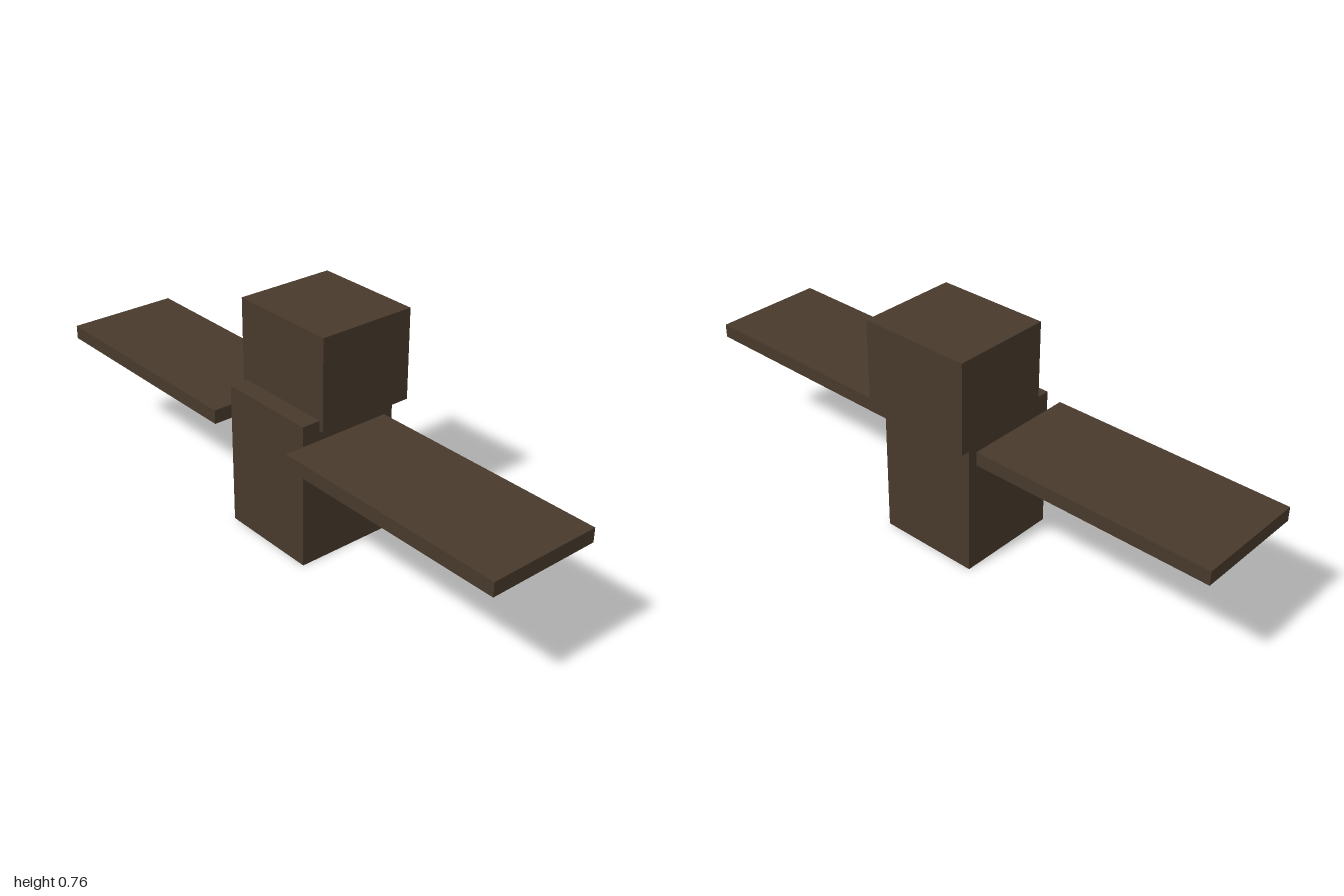
import * as THREE from 'three';

export function createModel() {
  const group = new THREE.Group();
  const brown = new THREE.MeshStandardMaterial({ color: 0x483a2d });
  brown.name = 'dark brown';

  // Box given by its lower and upper corners
  const box = (name, [x0, y0, z0], [x1, y1, z1]) => {
    const mesh = new THREE.Mesh(new THREE.BoxGeometry(x1 - x0, y1 - y0, z1 - z0), brown);
    mesh.name = name;
    mesh.position.set((x0 + x1) / 2, (y0 + y1) / 2, (z0 + z1) / 2);
    group.add(mesh);
  };

  box('body', [-0.177, 0, -0.185], [0.174, 0.486, 0.17]);
  // Head overlaps the body top and is set back
  box('head', [-0.193, 0.453, -0.233], [0.19, 0.759, 0.107]);

  // Flat wings on both sides, reaching forward past the body
  box('leftWing', [0.174, 0.373, -0.153], [1, 0.42, 0.234]);
  box('rightWing', [-1, 0.373, -0.153], [-0.177, 0.42, 0.234]);

  return group;
}
